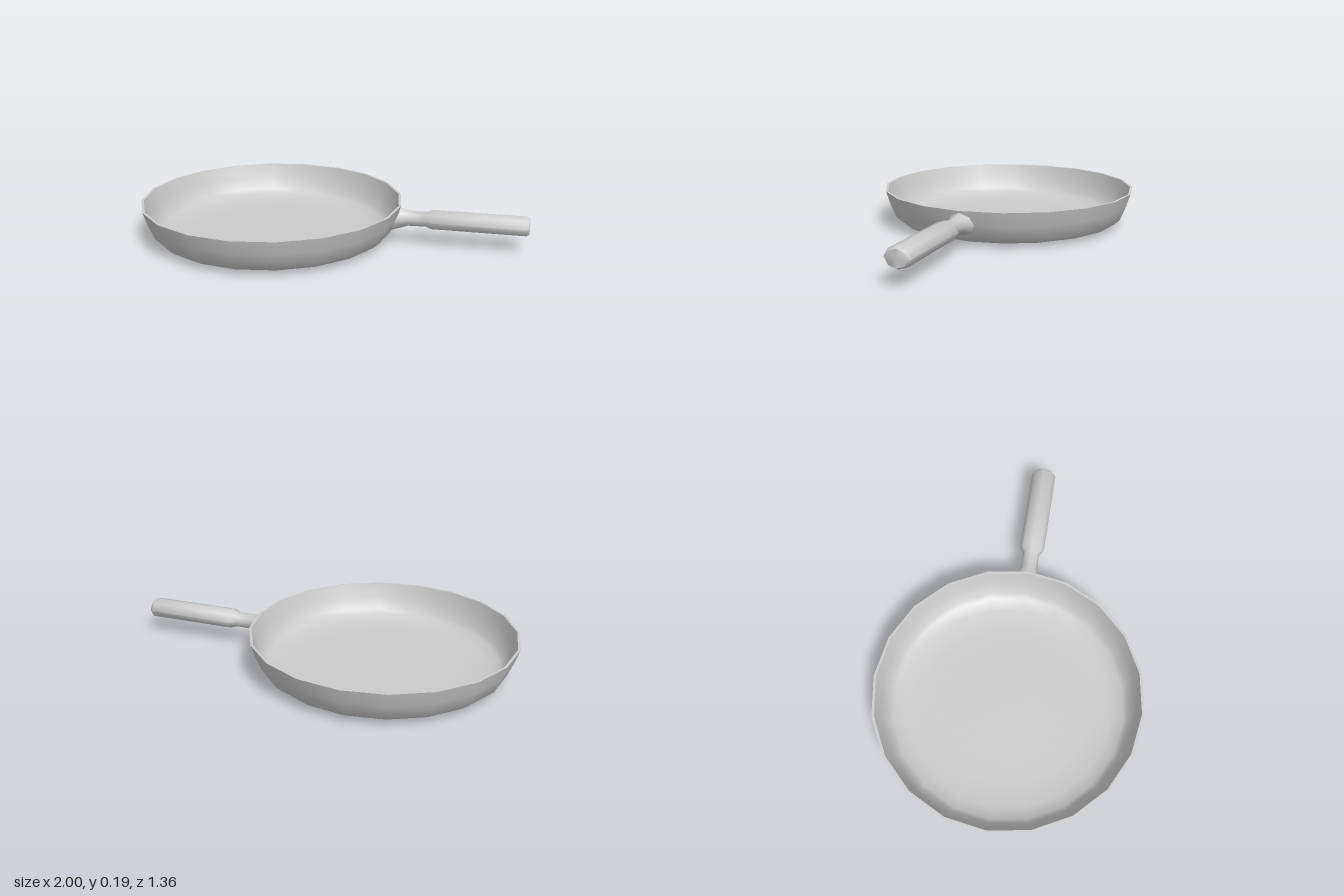
import * as THREE from 'three';
import { toCreasedNormals } from 'three/addons/utils/BufferGeometryUtils.js';

const material = new THREE.MeshStandardMaterial({ color: 0xcccccc });

function part(name, geometry, crease) {
  const mesh = new THREE.Mesh(toCreasedNormals(geometry, crease), material);
  mesh.name = name;
  return mesh;
}

// Shallow bowl with a thin rim: outside profile up, inside profile back down
function makePan() {
  const profile = [
    [0, 0], [0.4, 0.001], [0.535, 0.004], [0.6, 0.024], [0.627, 0.047], [0.657, 0.12], [0.68, 0.192],
    [0.667, 0.192], [0.645, 0.12], [0.616, 0.055], [0.592, 0.034], [0.53, 0.016], [0.4, 0.013], [0, 0.012],
  ].map(([r, y]) => new THREE.Vector2(r, y));
  const pan = part('pan', new THREE.LatheGeometry(profile, 20), 0.85);
  pan.position.x = -0.32;
  return pan;
}

// Oval eight-sided handle: each ring is [x, centre y, half height, half width, lean]
function makeHandle() {
  const rings = [
    [0.335, 0.121, 0.062, 0.066, 0.42],
    [0.4, 0.13, 0.041, 0.045, 0.1],
    [0.49, 0.131, 0.04, 0.043, 0],
    [0.52, 0.132, 0.051, 0.065, 0],
    [0.985, 0.132, 0.051, 0.065, 0],
    [1, 0.132, 0.043, 0.053, 0],
  ];
  const last = rings.length - 1;
  const geometry = new THREE.CylinderGeometry(1, 1, 1, 8, last);
  const pos = geometry.attributes.position;
  for (let i = 0; i < pos.count; i++) {
    const [x, cy, ry, rz, lean] = rings[Math.round((pos.getY(i) + 0.5) * last)];
    const dy = -pos.getX(i) * ry;
    pos.setXYZ(i, x + dy * lean, cy + dy, pos.getZ(i) * rz);
  }
  return part('handle', geometry, 1.05);
}

export function createModel() {
  const group = new THREE.Group();
  group.name = 'fryingPan';
  group.add(makePan(), makeHandle());
  return group;
}
